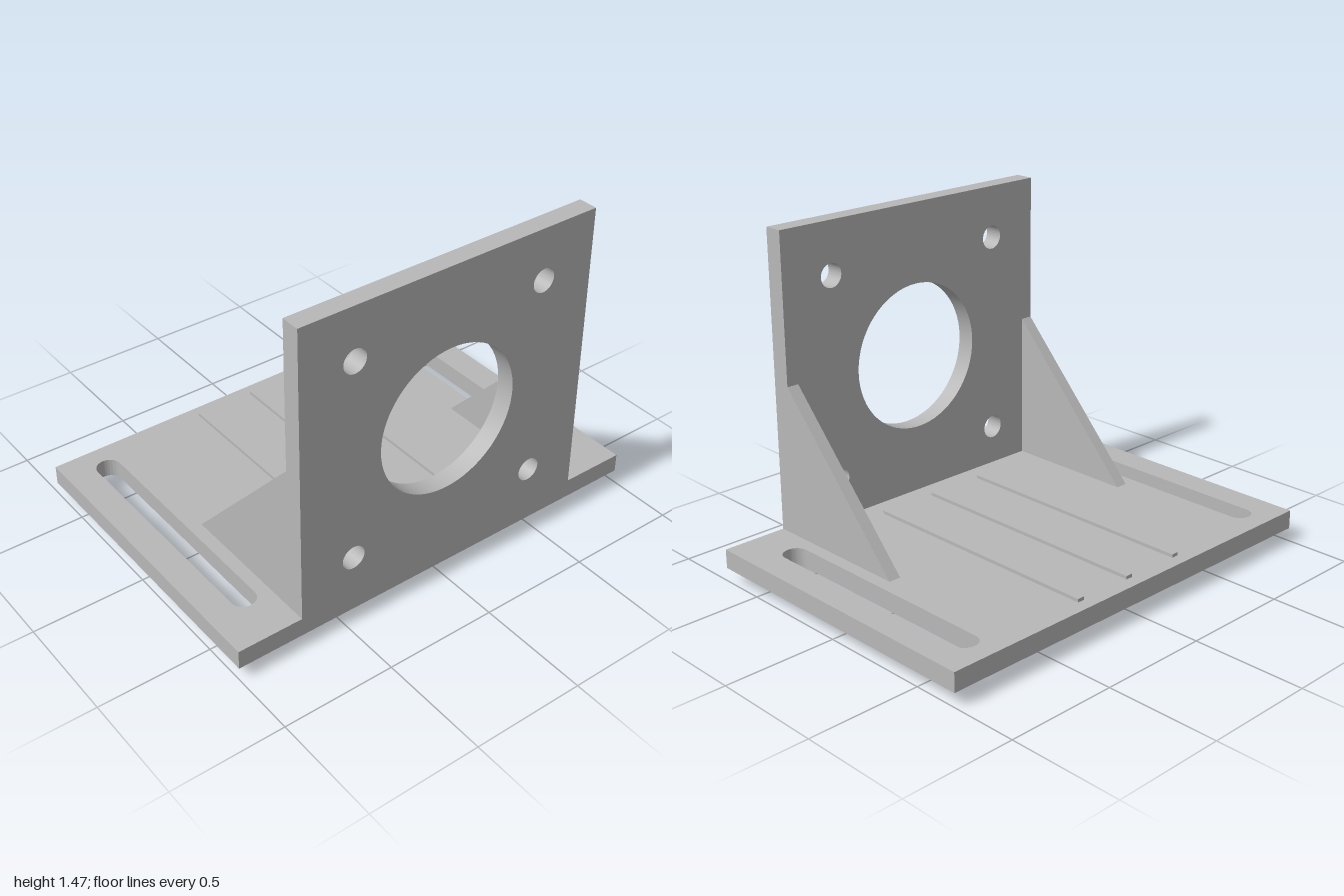
import * as THREE from 'three';
import { toCreasedNormals } from 'three/addons/utils/BufferGeometryUtils.js';

const BASE_BOTTOM = 0.06, BASE_TOP = 0.145, DEPTH = 0.705;
const PLATE_HALF = 0.705, PLATE_TOP = 1.47, PLATE_BACK = 0.62;

export function createModel() {
  const model = new THREE.Group();
  model.name = 'motorBracket';
  const metal = new THREE.MeshStandardMaterial({ color: 0xb8b8b8 });
  metal.name = 'grey metal';

  const add = (name, geometry, x = 0, y = 0, z = 0) => {
    const mesh = new THREE.Mesh(geometry, metal);
    mesh.name = name;
    mesh.position.set(x, y, z);
    model.add(mesh);
  };
  const box = (name, x0, x1, y0, y1, z0, z1) =>
    add(name, new THREE.BoxGeometry(x1 - x0, y1 - y0, z1 - z0),
      (x0 + x1) / 2, (y0 + y1) / 2, (z0 + z1) / 2);
  const polygon = (points) => new THREE.Shape(points.map(([x, y]) => new THREE.Vector2(x, y)));
  const rect = (x0, y0, x1, y1) => polygon([[x0, y0], [x1, y0], [x1, y1], [x0, y1]]);
  const extrude = (shape, depth) => toCreasedNormals(
    new THREE.ExtrudeGeometry(shape, { depth, bevelEnabled: false, curveSegments: 32 }), 0.6);

  // Base plate with a long mounting slot on each side (drawn in x, z)
  const base = rect(-1, -DEPTH, 1, DEPTH);
  const slotRadius = 0.054, slotBack = -0.617, slotFront = 0.522;
  for (const x of [-0.817, 0.817]) {
    const slot = new THREE.Path();
    slot.absarc(x, slotFront - slotRadius, slotRadius, 0, Math.PI, false);
    slot.absarc(x, slotBack + slotRadius, slotRadius, Math.PI, Math.PI * 2, false);
    slot.closePath();
    base.holes.push(slot);
  }
  add('basePlate', extrude(base, BASE_TOP - BASE_BOTTOM).rotateX(Math.PI / 2), 0, BASE_TOP, 0);

  // Upright face plate with a central bore and four bolt holes
  const face = rect(-PLATE_HALF, BASE_TOP, PLATE_HALF, PLATE_TOP);
  const boreY = 0.78, boltOffset = 0.456;
  const drill = (x, y, r) =>
    face.holes.push(new THREE.Path().absarc(x, y, r, 0, Math.PI * 2, true));
  drill(0, boreY, 0.331);
  for (const sx of [-1, 1]) {
    for (const sy of [-1, 1]) drill(sx * boltOffset, boreY + sy * boltOffset, 0.053);
  }
  add('facePlate', extrude(face, DEPTH - PLATE_BACK), 0, 0, PLATE_BACK);

  // Triangular gussets bracing the face plate (drawn in z, y)
  const gussetWidth = 0.055;
  const gusset = polygon([[0, BASE_TOP], [PLATE_BACK, BASE_TOP], [PLATE_BACK, 0.81]]);
  const gussetGeometry = extrude(gusset, gussetWidth).rotateY(-Math.PI / 2);
  add('leftGusset', gussetGeometry, PLATE_HALF);
  add('rightGusset', gussetGeometry, -PLATE_HALF + gussetWidth);

  // Thin raised ribs on top of the base
  for (const x of [-0.282, 0, 0.282]) {
    box('baseRib', x - 0.016, x + 0.016, BASE_TOP, 0.16, -0.648, 0.525);
  }

  // Alignment key under the base
  box('alignmentKey', -0.056, 0.056, 0, BASE_BOTTOM, -0.625, 0.545);

  return model;
}
